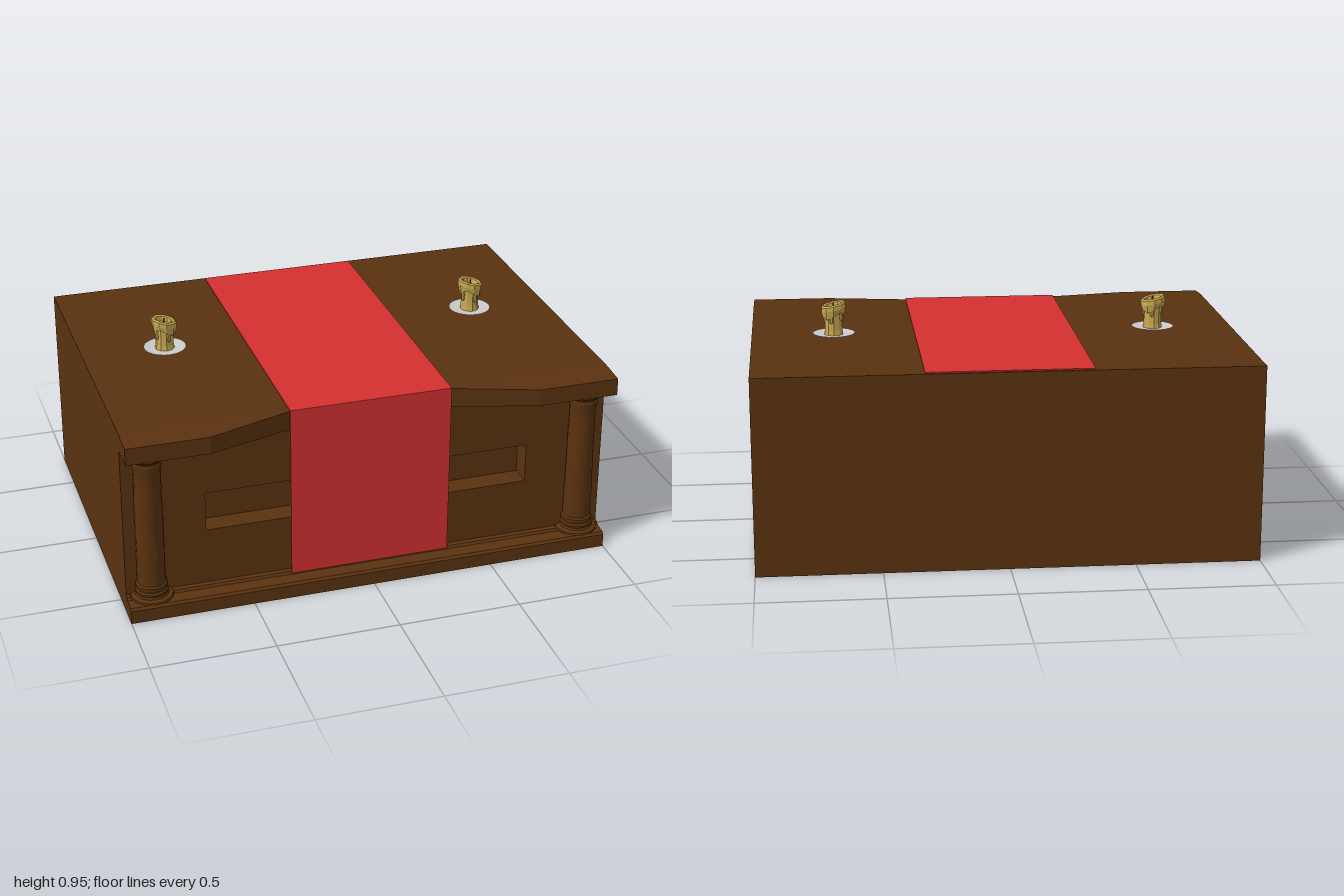
import * as THREE from 'three';
import { toCreasedNormals } from 'three/addons/utils/BufferGeometryUtils.js';

const mat = (color, extra = {}) => new THREE.MeshStandardMaterial({ color, ...extra });
const wood = mat(0x5a3210);
const cloth = mat(0xd43030, { side: THREE.DoubleSide });
const wax = mat(0xc8a850, { flatShading: true });
const wickMat = mat(0x5a4420);
const grey = mat(0xcccccc, { side: THREE.DoubleSide });

const v2 = (list) => list.map(([x, y]) => new THREE.Vector2(x, y));
const extrude = (shape, depth) => new THREE.ExtrudeGeometry(shape, { depth, bevelEnabled: false });

function add(parent, name, geometry, material, x = 0, y = 0, z = 0) {
  const mesh = new THREE.Mesh(geometry, material);
  mesh.name = name;
  mesh.position.set(x, y, z);
  parent.add(mesh);
  return mesh;
}

// Moves every vertex by a rule
function reshape(geometry, rule) {
  const p = geometry.attributes.position;
  const v = new THREE.Vector3();
  for (let i = 0; i < p.count; i++) {
    rule(v.fromBufferAttribute(p, i));
    p.setXYZ(i, v.x, v.y, v.z);
  }
  geometry.computeVertexNormals();
  return geometry;
}

// Side profile given as (z, y), swept across the full width w
function sweepX(points, w) {
  return extrude(new THREE.Shape(v2(points)), w).rotateY(-Math.PI / 2).translate(w / 2, 0, 0);
}

// Weathered round column with moulded foot and capital
function columnGeometry() {
  const foot = [[0, 0.08], [0.086, 0.08], [0.084, 0.088], [0.068, 0.094], [0.064, 0.102],
    [0.066, 0.112], [0.06, 0.12], [0.064, 0.13], [0.064, 0.14], [0.057, 0.147]];
  const shaft = [];
  for (let i = 0; i <= 8; i++) shaft.push([0.057 - i * 0.0005, 0.16 + i * 0.06]);
  const capital = [[0.058, 0.66], [0.059, 0.675], [0.056, 0.682], [0.066, 0.694],
    [0.074, 0.7], [0.074, 0.71], [0.066, 0.72], [0, 0.72]];
  const g = new THREE.LatheGeometry(v2([...foot, ...shaft, ...capital]), 18);
  reshape(g, (v) => {
    if (v.y < 0.18 || v.y > 0.63) return;
    const a = Math.atan2(v.x, v.z);
    const k = 1 + 0.03 * Math.sin(5 * Math.cos(a) + v.y * 31) * Math.sin(7 * Math.sin(a) + v.y * 17);
    v.x *= k;
    v.z *= k;
  });
  return toCreasedNormals(g, 0.5);
}

// Candle with a slanted, overhanging rim of melted wax
function candleGeometry() {
  const g = new THREE.LatheGeometry(v2([[0, 0], [0.04, 0], [0.037, 0.02], [0.036, 0.06],
    [0.037, 0.092], [0.047, 0.09], [0.052, 0.105], [0.051, 0.122], [0.044, 0.128],
    [0.034, 0.124], [0.03, 0.104], [0, 0.102]]), 10);
  return reshape(g, (v) => {
    const r = Math.hypot(v.x, v.z);
    if (v.y < 0.07) return;
    const a = Math.atan2(v.x, v.z);
    if (r > 0.045 && v.y < 0.1) v.y -= 0.01 * (1 + Math.sin(3 * a));
    v.y -= v.x * 0.22;
  });
}

export function createModel() {
  const model = new THREE.Group();
  model.name = 'altar';

  // Solid body with a recessed front panel
  add(model, 'body', new THREE.BoxGeometry(2, 0.8, 1.23), wood, 0, 0.4, -0.105);
  const front = new THREE.Shape(v2([[-1, 0], [1, 0], [1, 0.8], [-1, 0.8]]));
  front.holes.push(new THREE.Path(v2([[-0.67, 0.32], [-0.67, 0.485], [0.67, 0.485], [0.67, 0.32]])));
  add(model, 'frontPanel', extrude(front, 0.09), wood, 0, 0, 0.51);

  // Overhanging top edge, cut back in the middle
  const lip = new THREE.Shape(v2([[-1, 0.6], [1, 0.6], [1, 0.718], [0.67, 0.718],
    [0.33, 0.618], [-0.33, 0.618], [-0.67, 0.718], [-1, 0.718]]));
  const lipGeometry = reshape(extrude(lip, 0.08).rotateX(Math.PI / 2).translate(0, 0.8, 0), (v) => {
    if (v.y > 0.76) v.y -= Math.max(0, v.z - 0.618) * 0.09;
  });
  add(model, 'topLip', lipGeometry, wood);

  // Plinth moulding along the foot
  add(model, 'plinth', sweepX([[0.6, 0], [0.685, 0], [0.685, 0.055], [0.675, 0.064],
    [0.625, 0.07], [0.618, 0.08], [0.6, 0.083]], 2), wood);

  // Cloth running over the top and down the front
  add(model, 'clothRunner', sweepX([[-0.71, 0.8], [0.62, 0.8], [0.62, 0.075], [0.625, 0.075],
    [0.625, 0.805], [-0.71, 0.805]], 0.66), cloth);

  // Columns, and candles on their plates
  const column = columnGeometry();
  const candle = candleGeometry();
  const plate = new THREE.LatheGeometry(v2([[0, 0.809], [0.06, 0.81], [0.087, 0.816]]), 24);
  const wick = new THREE.CylinderGeometry(0.003, 0.004, 0.03, 6);
  // Runs of wax: angle, height, length, thickness
  const drips = [[Math.PI / 2, 0.075, 0.03, 0.007], [2.9, 0.075, 0.035, 0.008],
    [0.3, 0.068, 0.045, 0.007], [-1.2, 0.072, 0.04, 0.008], [-2.2, 0.08, 0.025, 0.007]];
  for (const [side, s] of [['left', 1], ['right', -1]]) {
    add(model, side + 'Column', column, wood, s * 0.9, 0, 0.62);
    add(model, side + 'Plate', plate, grey, s * 0.663, 0, -0.06);

    const group = new THREE.Group();
    group.name = side + 'Candle';
    group.position.set(s * 0.663, 0.811, -0.06);
    add(group, 'wax', candle, wax);
    add(group, 'wick', wick, wickMat, 0, 0.115, 0);
    for (const [a, y, length, r] of drips) {
      add(group, 'drip', new THREE.CapsuleGeometry(r, length, 3, 6), wax,
        Math.sin(a) * 0.037, y, Math.cos(a) * 0.037);
    }
    model.add(group);
  }
  return model;
}
